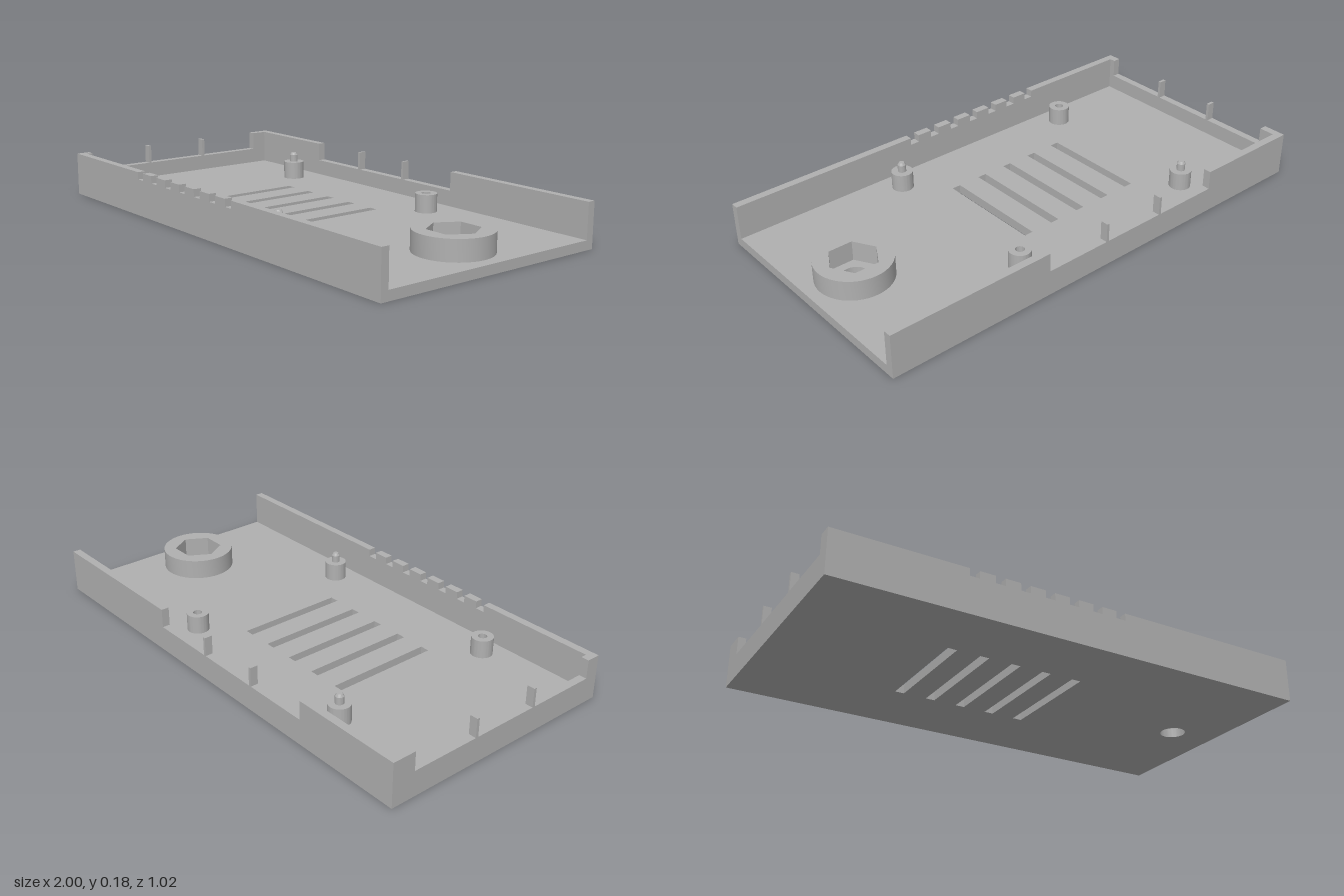
import * as THREE from 'three';
import { toCreasedNormals } from 'three/addons/utils/BufferGeometryUtils.js';

const FLOOR = 0.038, TOP = 0.18, LOW = 0.103, WALL = 0.032, HALF_Z = 0.512;

const circle = (x, z, r, Type = THREE.Path) => {
  const p = new Type();
  p.absarc(x, z, r, 0, Math.PI * 2);
  return p;
};

const polygon = (points, Type = THREE.Path) => new Type(points.map(([x, y]) => new THREE.Vector2(x, y)));

// Horizontal plate: the outline is drawn in x and z, filled between two heights.
function plate(shape, bottom, top) {
  const g = new THREE.ExtrudeGeometry(shape, { depth: top - bottom, bevelEnabled: false, curveSegments: 24 });
  g.rotateX(Math.PI / 2).translate(0, top, 0);
  return toCreasedNormals(g, 0.6);
}

// Upright wall whose top edge drops to the given height in each cut [start, end, height].
function wall(from, to, cuts) {
  const points = [[from, FLOOR], [from, TOP]];
  for (const [a, b, h] of cuts) points.push([a, TOP], [a, h], [b, h], [b, TOP]);
  points.push([to, TOP], [to, FLOOR]);
  return new THREE.ExtrudeGeometry(polygon(points, THREE.Shape), { depth: WALL, bevelEnabled: false });
}

export function createModel() {
  const model = new THREE.Group();
  model.name = 'enclosureTray';
  const grey = new THREE.MeshStandardMaterial({ color: 0xb0b0b0 });
  grey.name = 'grey plastic';
  const add = (name, geometry) => {
    const mesh = new THREE.Mesh(geometry, grey);
    mesh.name = name;
    model.add(mesh);
    return mesh;
  };
  const bossX = 0.803;

  // Floor with five vent slots and the screw hole
  const rect = (x0, x1, z0, z1) => [[x0, z0], [x1, z0], [x1, z1], [x0, z1]];
  const floor = polygon(rect(-1, 1, -HALF_Z, HALF_Z), THREE.Shape);
  for (let i = 0; i < 5; i++) {
    const x = -0.392 + i * 0.135;
    floor.holes.push(polygon(rect(x - 0.019, x + 0.019, -0.21, 0.24)));
  }
  floor.holes.push(circle(bossX, 0, 0.053));
  add('floor', plate(floor, 0, FLOOR));

  // Front wall with seven small notches
  const notches = [];
  for (let i = 0; i < 7; i++) notches.push([-0.47 + i * 0.104, -0.43 + i * 0.104, 0.15]);
  add('frontWall', wall(-1, 1, notches)).position.z = HALF_Z - WALL;

  // Back wall with a long opening divided by two thin posts
  add('backWall', wall(-1, 1, [[-0.538, -0.261, LOW], [-0.25, 0.019, LOW], [0.03, 0.31, LOW]]))
    .position.z = -HALF_Z;

  // End wall, likewise opened; the other end has no wall
  const inner = HALF_Z - WALL;
  const end = wall(-inner, inner, [[-0.414, -0.13, LOW], [-0.118, 0.158, LOW], [0.17, 0.455, LOW]]);
  end.rotateY(-Math.PI / 2).translate(-1 + WALL, 0, 0);
  add('endWall', end);

  // Round boss with a hexagonal nut pocket
  const boss = circle(bossX, 0, 0.15, THREE.Shape);
  const hex = [];
  for (let i = 0; i < 6; i++) {
    const a = i * Math.PI / 3;
    hex.push([bossX + 0.1 * Math.cos(a), 0.1 * Math.sin(a)]);
  }
  boss.holes.push(polygon(hex));
  add('nutBoss', plate(boss, FLOOR, 0.12));

  // Standoffs: one diagonal pair carries pins, the other has holes
  for (const [x, z, hasPin] of [[-0.555, -0.346, true], [0.31, -0.346, false],
    [-0.555, 0.387, false], [0.31, 0.387, true]]) {
    const post = circle(x, z, 0.044, THREE.Shape);
    if (!hasPin) post.holes.push(circle(x, z, 0.018));
    add('standoff', plate(post, FLOOR, 0.112));
    if (!hasPin) continue;
    const profile = [[0.017, 0.112], [0.017, 0.142], [0.011, 0.152], [0, 0.152]];
    const pin = new THREE.LatheGeometry(profile.map(([r, y]) => new THREE.Vector2(r, y)), 24);
    add('pin', toCreasedNormals(pin, 0.5)).position.set(x, 0, z);
  }
  return model;
}
